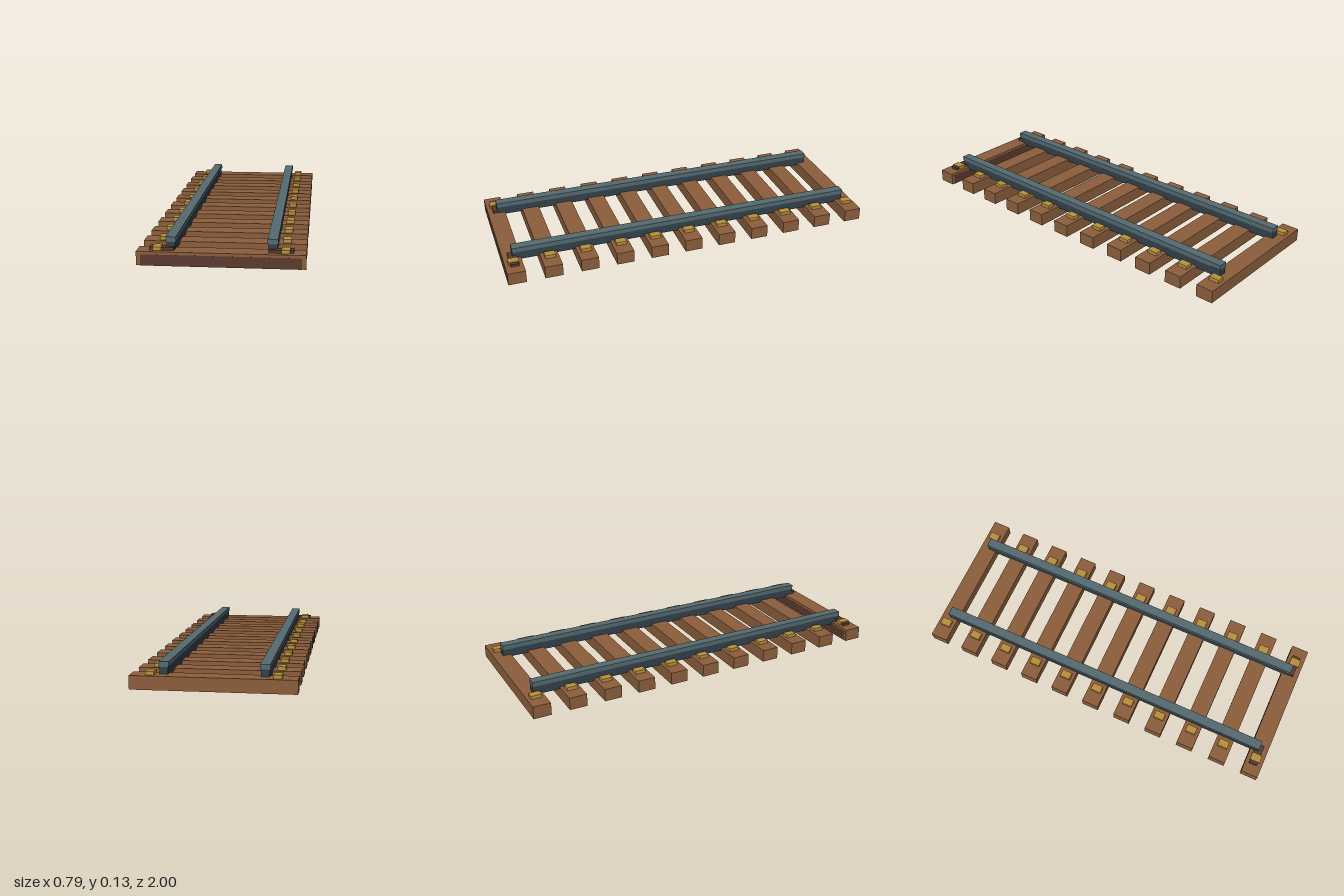
import * as THREE from 'three';

const material = (name, color) => {
  const m = new THREE.MeshStandardMaterial({ color });
  m.name = name;
  return m;
};

export function createModel() {
  const wood = material('wood', 0x8b5e3c);
  const darkWood = material('dark wood', 0x5a3a2e);
  const brass = material('brass', 0xb8903c);
  const steel = material('steel', 0x546a70);
  const darkSteel = material('dark steel', 0x32414b);

  const track = new THREE.Group();
  track.name = 'railwayTrack';

  // Box given by its lower and upper corners
  const box = (name, mat, [x0, y0, z0], [x1, y1, z1]) => {
    const mesh = new THREE.Mesh(new THREE.BoxGeometry(x1 - x0, y1 - y0, z1 - z0), mat);
    mesh.position.set((x0 + x1) / 2, (y0 + y1) / 2, (z0 + z1) / 2);
    mesh.name = name;
    track.add(mesh);
  };

  const count = 11, half = 0.047, endZ = 1 - half, top = 0.067;
  for (let i = 0; i < count; i++) {
    const z = -endZ + (2 * endZ * i) / (count - 1);
    box('sleeper', wood, [-0.395, 0, z - half], [0.395, top, z + half]);
    // Fastening on each end of the sleeper
    for (const s of [-1, 1]) {
      box('railClip', brass, [s * 0.3 - 0.02, top - 0.002, z - 0.028], [s * 0.3 + 0.02, 0.085, z + 0.028]);
    }
  }

  // Dark core showing on the faces of the front sleeper
  box('sleeperCore', darkWood, [-0.375, -0.0005, endZ - half - 0.0005], [0.375, 0.053, endZ + half + 0.0005]);

  for (const s of [-1, 1]) {
    // Base plate under the front fastening
    box('basePlate', darkWood, [s * 0.279 - 0.058, top - 0.002, 0.928], [s * 0.279 + 0.058, 0.081, 0.972]);
    // Rail: narrow web under a wider head
    box('railWeb', darkSteel, [s * 0.239 - 0.02, 0.055, -0.95], [s * 0.239 + 0.02, 0.102, 0.95]);
    box('railHead', steel, [s * 0.239 - 0.0245, 0.102, -0.95], [s * 0.239 + 0.0245, 0.127, 0.95]);
  }
  return track;
}
